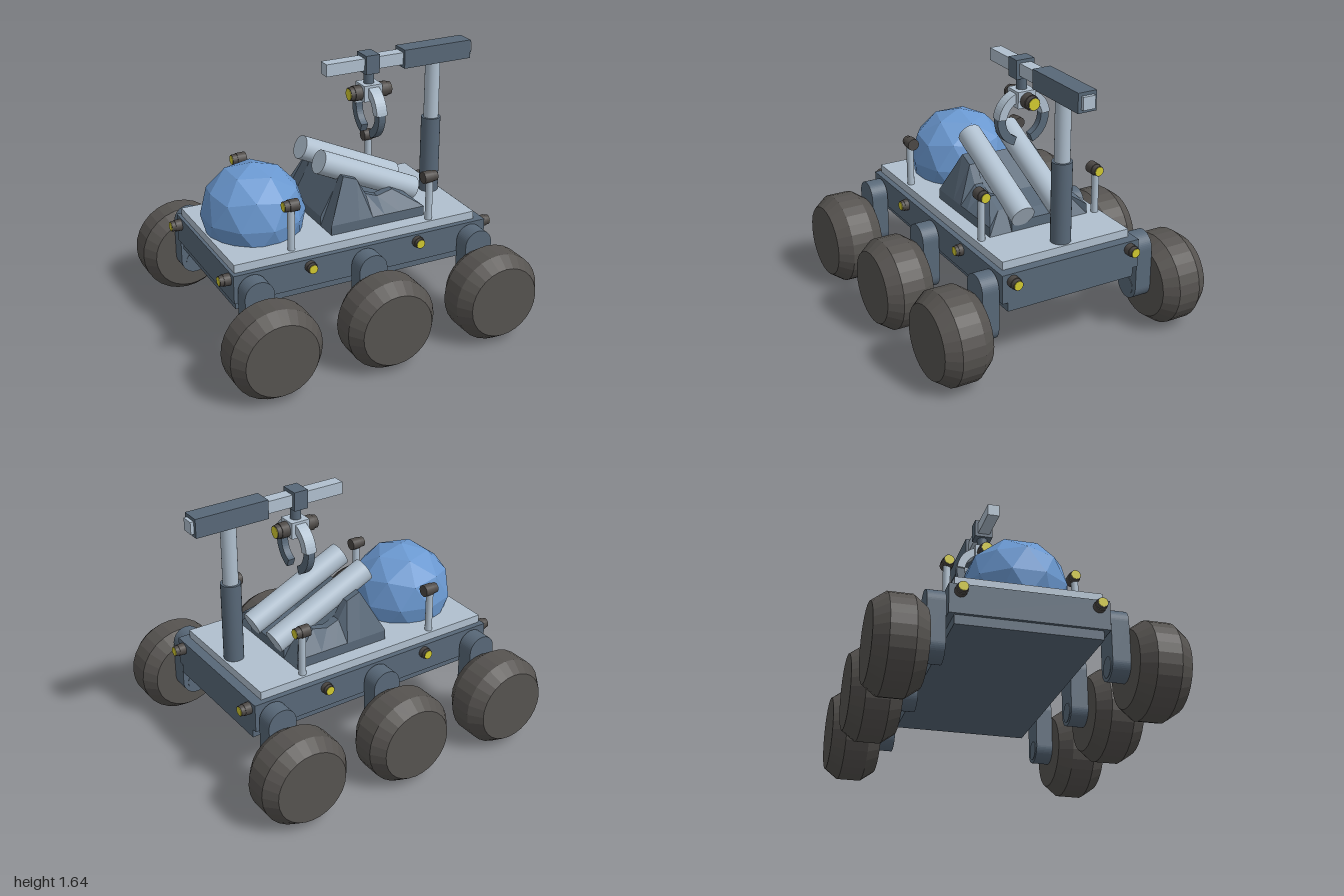
import * as THREE from 'three';

const mat = (color, extra = {}) => new THREE.MeshStandardMaterial({ color, ...extra });

export function createModel() {
  const root = new THREE.Group();
  root.name = 'rover';
  const dark = mat(0x586878), light = mat(0xb0c0cf), rubber = mat(0x565350, { flatShading: true });
  const casing = mat(0x4c4845), yellow = mat(0xd2ca30), blue = mat(0x6a98d0, { flatShading: true });
  const plate = mat(0x586878, { flatShading: true, side: THREE.DoubleSide });

  function add(name, geo, material, x = 0, y = 0, z = 0, parent = root) {
    const m = new THREE.Mesh(geo, material);
    m.name = name;
    m.position.set(x, y, z);
    parent.add(m);
    return m;
  }
  // Box given by its limits on each axis
  function box(name, material, x0, x1, y0, y1, z0, z1) {
    return add(name, new THREE.BoxGeometry(x1 - x0, y1 - y0, z1 - z0), material,
      (x0 + x1) / 2, (y0 + y1) / 2, (z0 + z1) / 2);
  }
  // Round bar between two points
  function rod(name, material, a, b, r, sides = 24) {
    const p = new THREE.Vector3(...a), q = new THREE.Vector3(...b), d = q.clone().sub(p);
    const m = add(name, new THREE.CylinderGeometry(r, r, d.length(), sides), material);
    m.position.copy(p).add(q).multiplyScalar(0.5);
    m.quaternion.setFromUnitVectors(new THREE.Vector3(0, 1, 0), d.normalize());
    return m;
  }
  // Lamp: stepped casing with a yellow lens, pointing along dir
  function lamp(name, x, y, z, dir, len, r) {
    const g = new THREE.Group();
    g.name = name;
    g.position.set(x, y, z);
    g.quaternion.setFromUnitVectors(new THREE.Vector3(0, 1, 0), new THREE.Vector3(...dir));
    add('casing', new THREE.CylinderGeometry(r, r, len * 0.65, 16), casing, 0, len * 0.325, 0, g);
    add('rim', new THREE.CylinderGeometry(r * 0.85, r * 0.9, len * 0.35, 16), casing, 0, len * 0.825, 0, g);
    add('lens', new THREE.CylinderGeometry(r * 0.74, r * 0.74, 0.004, 16), yellow, 0, len + 0.001, 0, g);
    root.add(g);
  }

  // Chassis
  box('chassis', dark, -0.83, 0.83, 0.455, 0.63, -0.455, 0.455);
  box('belly', dark, -0.81, 0.83, 0.40, 0.455, -0.42, 0.42);
  box('deck', light, -0.81, 0.77, 0.63, 0.68, -0.42, 0.42);

  // Wheels and rounded suspension legs
  const wheelGeo = new THREE.LatheGeometry([
    [0, -0.15], [0.222, -0.15], [0.28, -0.07], [0.28, 0.07], [0.222, 0.15], [0, 0.15],
  ].map(p => new THREE.Vector2(...p)), 28);
  wheelGeo.rotateX(Math.PI / 2);
  const legShape = new THREE.Shape();
  legShape.absarc(0, 0.53, 0.09, 0, Math.PI);
  legShape.absarc(0, 0.29, 0.09, Math.PI, Math.PI * 2);
  legShape.closePath();
  const legGeo = new THREE.ExtrudeGeometry(legShape, { depth: 0.105, bevelEnabled: false, curveSegments: 14 });
  for (const s of [1, -1]) for (const x of [-0.72, 0, 0.72]) {
    add('wheel', wheelGeo, rubber, x, 0.28, s * 0.72);
    add('leg', legGeo, dark, x, 0, s > 0 ? 0.463 : -0.568);
    rod('axle', dark, [x, 0.28, s * 0.46], [x, 0.28, s * 0.6], 0.06);
  }

  // Lamps on the hull and on deck posts
  for (const s of [1, -1]) for (const e of [1, -1]) {
    lamp('sideLamp', e * 0.355, 0.585, s * 0.45, [0, 0, s], 0.05, 0.035);
    lamp('endLamp', e * 0.825, 0.585, s * 0.39, [e, 0, 0], 0.07, 0.036);
    const x = e > 0 ? 0.47 : -0.44;
    rod('lampPost', light, [x, 0.68, s * 0.385], [x, 0.94, s * 0.385], 0.022, 16);
    lamp('postLamp', x - e * 0.045, 0.955, s * 0.38, [e, 0, 0], 0.09, 0.037);
  }

  // Faceted dome
  const dome = new THREE.IcosahedronGeometry(0.315, 1);
  dome.rotateX(-Math.atan((1 + Math.sqrt(5)) / 2));
  dome.rotateY(Math.PI / 2);
  add('dome', dome, blue, -0.51, 0.775, 0);

  // Cradle side walls: stations of base x, top x, top height
  const stations = [[-0.155, -0.03, 0.995], [0.03, 0.06, 0.96], [0.12, 0.12, 0.855],
    [0.2, 0.2, 0.825], [0.3, 0.3, 0.85], [0.47, 0.4, 0.80]];
  const pos = [], idx = [];
  for (const [xb, xt, h] of stations) {
    pos.push(xb, 0.68, 0.33, xb, 0.74, 0.33, xt, h, 0.235, xt, h, 0.185, xb, 0.68, 0.185);
  }
  const last = (stations.length - 1) * 5;
  for (let i = 0; i < last; i += 5) for (let j = 0; j < 5; j++) {
    const a = i + j, b = i + (j + 1) % 5;
    idx.push(a, a + 5, b, b, a + 5, b + 5);
  }
  for (let j = 1; j < 4; j++) idx.push(0, j, j + 1, last, last + j + 1, last + j);
  const wallGeo = new THREE.BufferGeometry();
  wallGeo.setAttribute('position', new THREE.Float32BufferAttribute(pos, 3));
  wallGeo.setIndex(idx);
  wallGeo.computeVertexNormals();
  for (const s of [1, -1]) add('cradleWall', wallGeo, plate).scale.z = s;

  // Cradle core under the tubes
  const core = new THREE.Shape([[-0.155, 0.68], [0.47, 0.68], [0.47, 0.74], [0.4, 0.77],
    [0.2, 0.8], [-0.03, 0.97], [-0.155, 0.74]].map(p => new THREE.Vector2(...p)));
  add('cradleCore', new THREE.ExtrudeGeometry(core, { depth: 0.37, bevelEnabled: false }), dark, 0, 0, -0.185);
  for (const s of [1, -1]) rod('tube', light, [-0.137, 1.07, s * 0.127], [0.5, 0.775, s * 0.127], 0.073, 32);

  // Mast and telescopic boom
  rod('mastLower', dark, [0.7, 0.68, 0], [0.7, 1.17, 0], 0.06);
  rod('mastUpper', light, [0.7, 1.17, 0], [0.7, 1.54, 0], 0.046);
  box('boomSleeve', dark, 0.47, 0.93, 1.53, 1.645, -0.058, 0.058);
  box('boom', light, -0.04, 0.95, 1.55, 1.625, -0.038, 0.038);
  box('boomCollar', dark, 0.21, 0.3, 1.53, 1.645, -0.058, 0.058);

  // Grabber: neck, hub, lamps and two curved jaws
  rod('grabberNeck', dark, [0.258, 1.45, 0], [0.258, 1.54, 0], 0.032, 16);
  box('grabberHub', light, 0.2, 0.32, 1.36, 1.46, -0.058, 0.058);
  for (const e of [1, -1]) lamp('grabberLamp', 0.262 + e * 0.06, 1.405, 0, [e, 0, 0], 0.077, 0.047);
  function jaw(name, material, from, to, width) {
    const a = THREE.MathUtils.degToRad(from), b = THREE.MathUtils.degToRad(to);
    const shape = new THREE.Shape();
    shape.absarc(0, 0, 0.17, a, b, false);
    shape.absarc(0, 0, 0.118, b, a, true);
    shape.closePath();
    const geo = new THREE.ExtrudeGeometry(shape, { depth: width, bevelEnabled: false, curveSegments: 5 });
    geo.translate(0, 0, -width / 2);
    geo.rotateY(Math.PI / 2);
    add(name, geo, material, 0.261, 1.285, 0);
  }
  jaw('jawUpper', light, 5, 72, 0.07);
  jaw('jawUpper', light, 108, 175, 0.07);
  jaw('jawLower', dark, -68, 5, 0.045);
  jaw('jawLower', dark, 175, 248, 0.045);

  return root;
}
